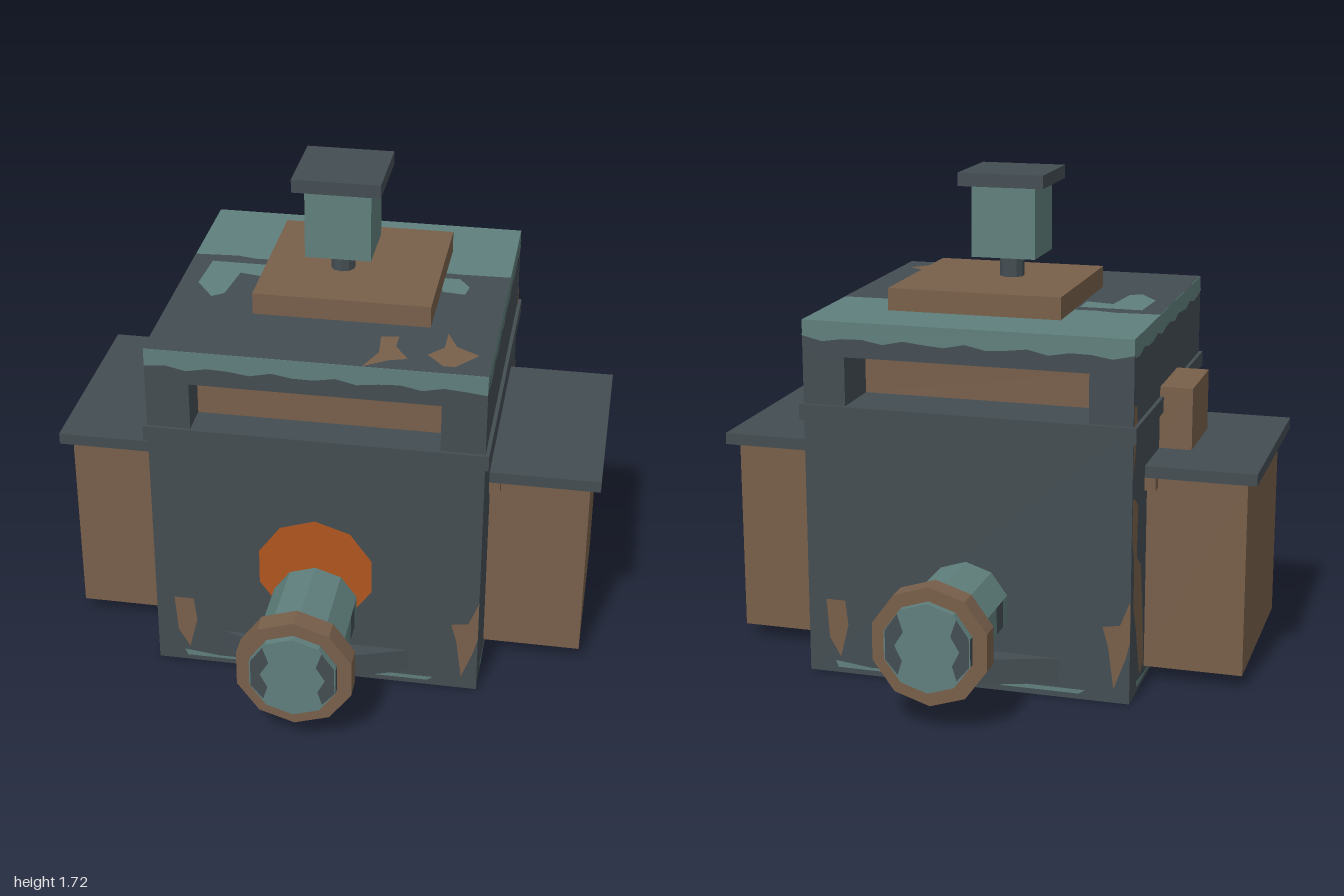
import * as THREE from 'three';

const mat = (name, color) => {
  const m = new THREE.MeshStandardMaterial({ color });
  m.name = name;
  return m;
};

export function createModel() {
  const model = new THREE.Group();
  const iron = mat('dark iron', 0x434d52);
  const rust = mat('rust brown', 0x785f4a);
  const teal = mat('worn teal', 0x5f7f7c);
  const glow = mat('furnace orange', 0xb0561f);

  const add = (name, geo, material, parent = model) => {
    const mesh = new THREE.Mesh(geo, material);
    mesh.name = name;
    parent.add(mesh);
    return mesh;
  };
  // Box given by its extents on each axis
  const box = (name, material, [x0, x1], [y0, y1], [z0, z1], parent) => {
    const geo = new THREE.BoxGeometry(x1 - x0, y1 - y0, z1 - z0);
    geo.translate((x0 + x1) / 2, (y0 + y1) / 2, (z0 + z1) / 2);
    return add(name, geo, material, parent);
  };
  const flat = (geo) => {
    const g = geo.toNonIndexed();
    g.computeVertexNormals();
    return g;
  };
  // Painted patch on a wall; turn is the wall's angle about y
  const wallPatch = (name, material, pts, turn, dist = 0.577) => {
    const geo = new THREE.ShapeGeometry(new THREE.Shape(pts.map(([u, v]) => new THREE.Vector2(u, v))));
    geo.translate(0, 0, dist).rotateY(turn);
    return add(name, geo, material);
  };
  // Painted patch on the roof, points as x, z
  const roofPatch = (name, material, pts, y = 1.264) => {
    const geo = new THREE.ShapeGeometry(new THREE.Shape(pts.map(([x, z]) => new THREE.Vector2(x, -z))));
    geo.rotateX(-Math.PI / 2).translate(0, y, 0);
    return add(name, geo, material);
  };

  // Main housing: solid base, flange, side walls and roof around an open slot
  const W = [-0.575, 0.575];
  box('housing', iron, W, [0, 0.97], W);
  box('flange', iron, [-0.588, 0.588], [0.915, 0.97], [-0.588, 0.588]);
  for (const s of [-1, 1]) {
    box('slotWall', iron, s < 0 ? [-0.575, -0.425] : [0.425, 0.575], [0.97, 1.14], W);
  }
  box('roofSlab', [iron, iron, iron, teal, iron, iron], W, [1.14, 1.21], W);
  box('roofTrim', teal, W, [1.21, 1.262], W);

  // Core inside the slot, and the block that passes up through the roof
  box('innerCore', rust, [-0.425, 0.425], [0.97, 1.095], [-0.37, 0.46]);
  box('roofBlock', rust, [-0.27, 0.345], [1.09, 1.34], [-0.35, 0.265]);

  // Vent on the roof
  const stem = flat(new THREE.CylinderGeometry(0.043, 0.043, 0.1, 10));
  add('ventStem', stem.translate(0, 1.38, 0), iron);
  box('ventHead', teal, [-0.115, 0.115], [1.42, 1.67], [-0.115, 0.115]);
  box('ventCap', iron, [-0.153, 0.153], [1.673, 1.72], [-0.153, 0.153]);

  // Side tanks with overhanging lids and a support bar
  for (const s of [-1, 1]) {
    const span = (a, b) => (s > 0 ? [a, b] : [-b, -a]);
    const tank = new THREE.Group();
    tank.name = s > 0 ? 'leftTank' : 'rightTank';
    model.add(tank);
    box('tankBody', rust, span(0.57, 0.92), [0.05, 0.745], [-0.345, 0.345], tank);
    box('tankLid', iron, span(0.57, 0.957), [0.745, 0.786], [-0.385, 0.385], tank);
    box('lidSupport', rust, span(0.57, 0.613), [0.7, 0.745], [-0.385, 0.385], tank);
  }
  box('sideBox', rust, [-0.69, -0.57], [0.78, 1.005], [-0.15, 0.15]);

  // Ten-sided pipes with collars and a wedge beneath, front and back
  for (const turn of [0, Math.PI]) {
    const port = new THREE.Group();
    port.name = turn ? 'backPort' : 'frontPort';
    port.rotation.y = turn;
    model.add(port);

    const rows = 6;
    const pipe = new THREE.CylinderGeometry(0.154, 0.154, 0.45, 10, rows);
    pipe.clearGroups();
    for (let side = 0; side < 10; side++) {
      for (let row = 0; row < rows; row++) {
        const lower = side === 1 || side === 8;
        const flank = side === 2 || side === 7;
        const dark = lower || (flank && (row < 2 || row === 4));
        pipe.addGroup((side * rows + row) * 6, 6, dark ? 1 : 0);
      }
    }
    pipe.addGroup(10 * rows * 6, 60, 0);
    pipe.rotateX(Math.PI / 2).translate(0, 0.3, 0.775);
    add('pipe', flat(pipe), [teal, iron], port);

    const collar = flat(new THREE.CylinderGeometry(0.205, 0.205, 0.075, 10));
    add('collar', collar.rotateX(Math.PI / 2).translate(0, 0.297, 0.938), rust, port);

    const tri = new THREE.Shape([[-0.345, -0.57], [0.345, -0.57], [0, -0.69]].map(([x, y]) => new THREE.Vector2(x, y)));
    const wedge = new THREE.ExtrudeGeometry(tri, { depth: 0.09, bevelEnabled: false });
    add('wedge', wedge.rotateX(-Math.PI / 2).translate(0, 0.05, 0), iron, port);

    // Dark stains on the pipe end
    for (const s of [-1, 1]) {
      const stain = [[0.142, 0.35], [0.142, 0.25], [0.1, 0.2], [0.085, 0.25], [0.11, 0.3], [0.08, 0.35], [0.1, 0.41]];
      const m = wallPatch('endStain', iron, stain.map(([x, y]) => [s * x, y]), 0, 1.0005);
      port.add(m);
    }
  }

  // Glowing port cover above the front pipe
  const disc = new THREE.CircleGeometry(0.208, 10, Math.PI / 2);
  add('glowPlate', disc.translate(0, 0.437, 0.577), glow);

  // Roof paint: dark front area, with worn spots
  const edge = [[0.575, -0.165], [0.4, -0.16], [0.2, -0.17], [0, -0.175], [-0.35, -0.165], [-0.42, -0.18], [-0.575, -0.17]];
  roofPatch('roofPaint', iron, [[-0.575, 0.575], [0.575, 0.575], ...edge], 1.263);
  roofPatch('roofSpot', teal, [[-0.5, -0.12], [-0.28, -0.12], [-0.28, -0.02], [-0.38, -0.04], [-0.4, 0.13], [-0.44, 0.16], [-0.51, 0.06]]);
  roofPatch('roofSpot', teal, [[0.33, -0.12], [0.4, -0.12], [0.44, -0.06], [0.43, 0], [0.35, -0.01]]);
  roofPatch('rustSpot', rust, [[0.19, 0.36], [0.25, 0.35], [0.25, 0.42], [0.3, 0.5], [0.24, 0.52], [0.16, 0.575], [0.2, 0.47]]);
  roofPatch('rustSpot', rust, [[0.41, 0.3], [0.45, 0.39], [0.53, 0.44], [0.46, 0.53], [0.42, 0.53], [0.36, 0.46], [0.41, 0.4]]);

  // Wall wear: uneven trim edge and a thin teal line near the ground
  for (let i = 0; i < 4; i++) {
    const turn = (i * Math.PI) / 2;
    const drip = [];
    for (let k = 0; k <= 16; k++) {
      drip.push([-0.575 + (1.15 * k) / 16, 1.2 + 0.009 * Math.sin(k * 2.3 + i)]);
    }
    wallPatch('trimEdge', teal, [[-0.575, 1.215], ...drip, [0.575, 1.215]], turn);
    wallPatch('groundLine', teal, [[-0.48, 0.045], [-0.35, 0.03], [0.2, 0.035], [0.42, 0.035], [0.4, 0.02], [-0.47, 0.02]], turn);
  }

  // Rust runs on the walls
  for (const turn of [0, Math.PI]) {
    wallPatch('rustRun', rust, [[-0.51, 0.27], [-0.44, 0.27], [-0.43, 0.18], [-0.46, 0.06], [-0.5, 0.13]], turn);
    wallPatch('rustRun', rust, [[0.575, 0.37], [0.54, 0.28], [0.48, 0.27], [0.5, 0.2], [0.52, 0.05], [0.56, 0.16], [0.575, 0.22]], turn);
  }
  const run = [[0.36, 0.08], [0.4, 0.3], [0.43, 0.45], [0.5, 0.5], [0.49, 0.68], [0.55, 0.72], [0.575, 0.72],
    [0.575, 0.58], [0.54, 0.5], [0.54, 0.33], [0.5, 0.25], [0.43, 0.05]];
  const upperRun = [[0.52, 0.97], [0.53, 1.03], [0.575, 1.04], [0.575, 0.8], [0.55, 0.86]];
  for (const s of [1, -1]) {
    const place = (pts) => pts.map(([u, v]) => [s * u, v]);
    wallPatch('rustRun', rust, place(run), (s * Math.PI) / 2);
    wallPatch('rustRun', rust, place(upperRun), (s * Math.PI) / 2);
  }
  return model;
}
